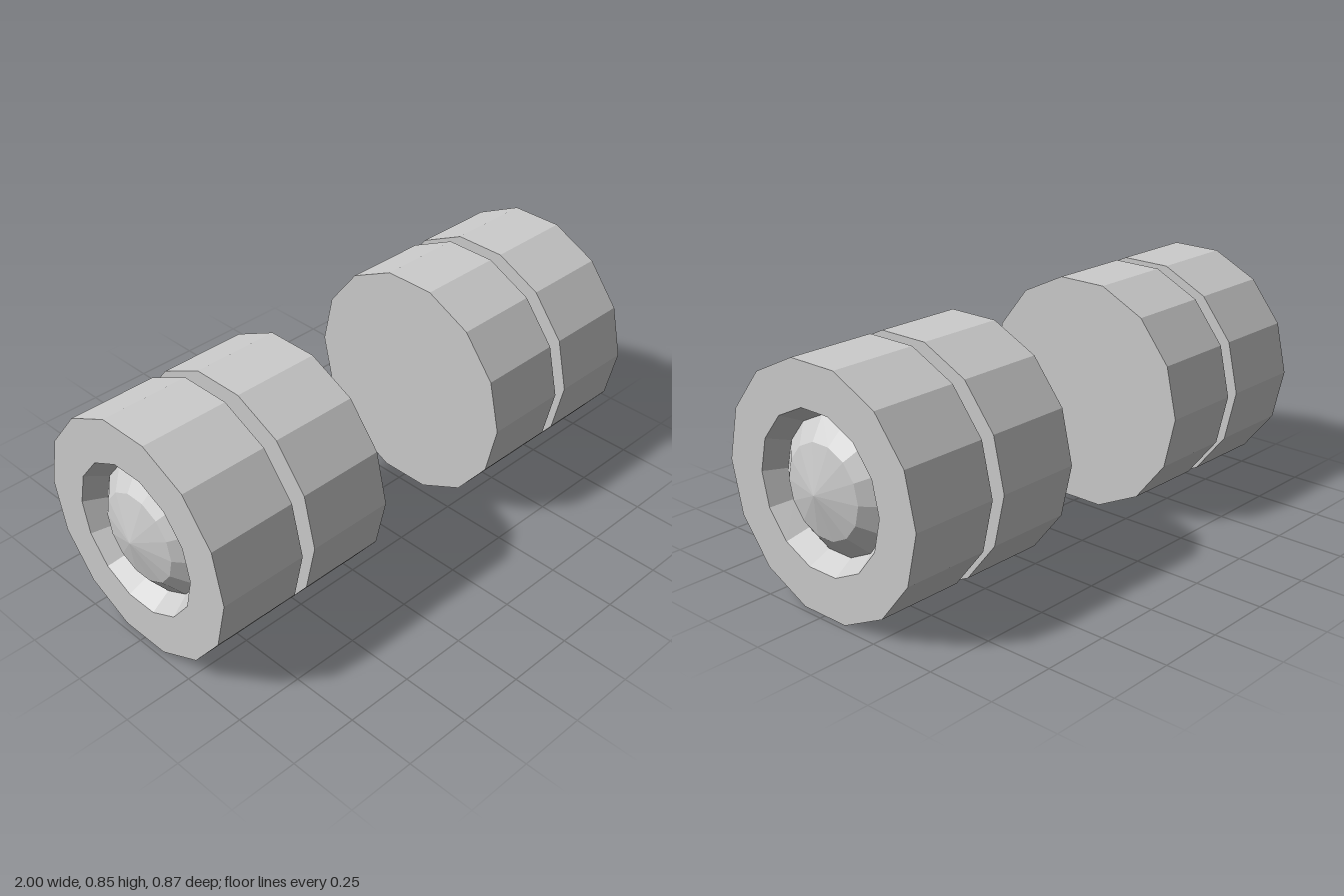
import * as THREE from 'three';

const SIDES = 14;
const RADIUS = 0.435;
const CENTER_Y = RADIUS * Math.cos(Math.PI / SIDES);

export function createModel() {
  const grey = new THREE.MeshStandardMaterial({ color: 0xcccccc, flatShading: true });
  grey.name = 'light grey';

  // Faceted solid of revolution; each profile point is [radius, distance along the axle]
  function turned(name, profile) {
    const points = profile.map(([r, d]) => new THREE.Vector2(r, d));
    const mesh = new THREE.Mesh(new THREE.LatheGeometry(points, SIDES), grey);
    mesh.name = name;
    return mesh;
  }

  // Outer and inner wheel of one side, with the axle along +y before turning
  function wheelPair(name, side) {
    const pair = new THREE.Group();
    pair.name = name;
    pair.add(
      // Plain inner wheel
      turned('innerWheel', [[0, 0.28], [RADIUS, 0.28], [RADIUS, 0.603], [0, 0.603]]),
      // Outer wheel with a tapered recess
      turned('outerWheel', [[0, 0.655], [RADIUS, 0.655], [RADIUS, 0.98], [0.277, 0.98], [0.235, 0.905]]),
      // Domed hub filling the recess
      turned('hubCap', [[0.235, 0.905], [0.163, 0.962], [0, 1]])
    );
    pair.rotation.z = -side * Math.PI / 2;
    pair.position.y = CENTER_Y;
    return pair;
  }

  const model = new THREE.Group();
  model.name = 'dualWheels';
  model.add(wheelPair('leftWheels', 1), wheelPair('rightWheels', -1));
  return model;
}
